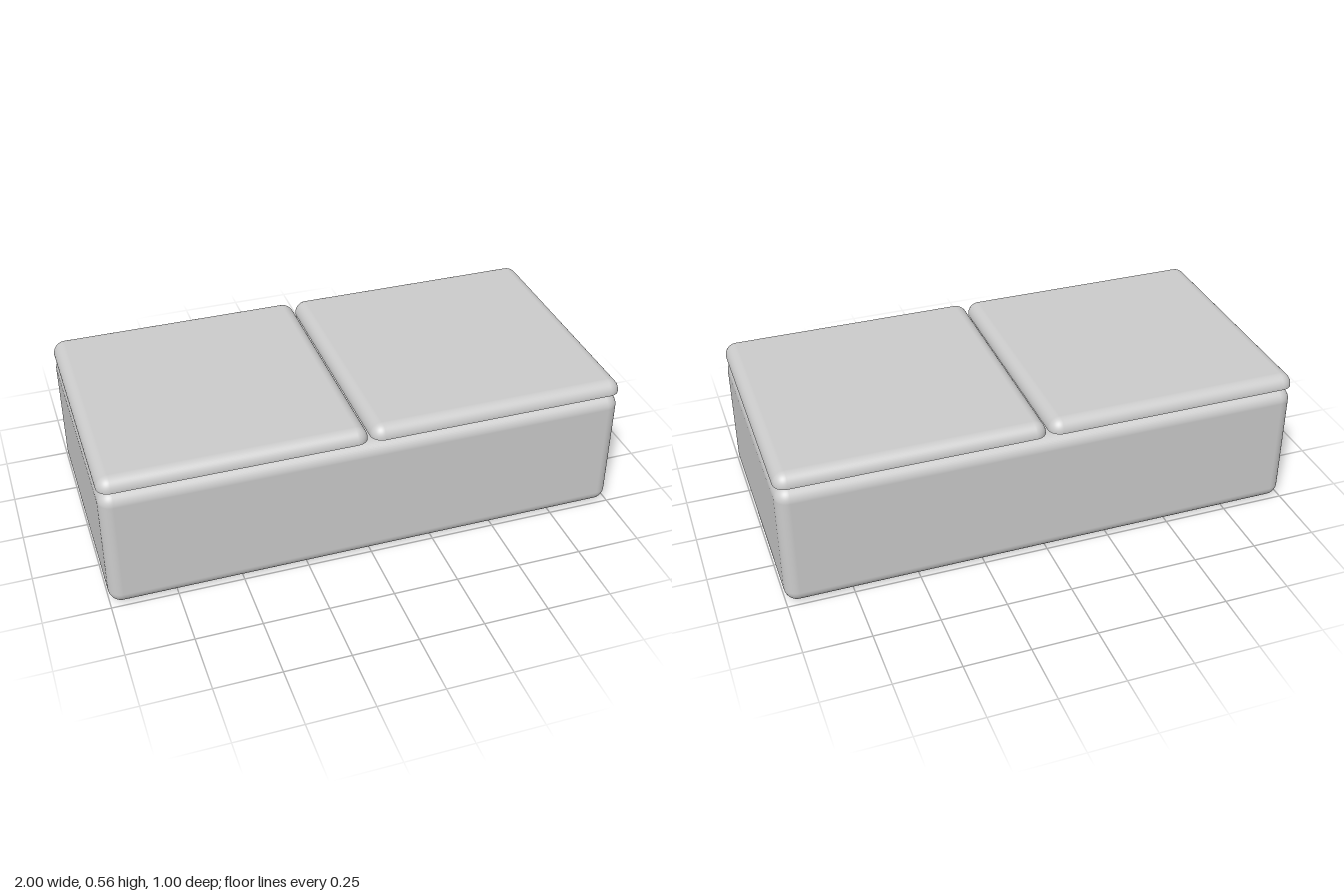
import * as THREE from 'three';
import { RoundedBoxGeometry } from 'three/addons/geometries/RoundedBoxGeometry.js';

const material = new THREE.MeshStandardMaterial({ color: 0xcccccc });

// Cushion-edged slab: upper half of a rounded box, closed with a flat underside at y = 0
function slabGeometry(width, height, depth, radius) {
  const geometry = new RoundedBoxGeometry(width, height * 2, depth, 6, radius);
  const pos = geometry.attributes.position;
  const normal = geometry.attributes.normal;
  for (let i = 0; i < pos.count; i++) {
    if (pos.getY(i) < 1e-6) pos.setY(i, 0);
  }
  for (let i = 0; i < pos.count; i += 3) {
    const flat = [0, 1, 2].every((k) => pos.getY(i + k) === 0);
    for (let k = 0; k < 3; k++) {
      const n = i + k;
      if (flat) normal.setXYZ(n, 0, -1, 0);
      else if (pos.getY(n) === 0) {
        // rim of the wall faces straight outwards
        const v = new THREE.Vector3(normal.getX(n), 0, normal.getZ(n)).normalize();
        normal.setXYZ(n, v.x, 0, v.z);
      }
    }
  }
  return geometry;
}

export function createModel() {
  const model = new THREE.Group();
  model.name = 'chestWithTwoLids';

  // Main body
  const body = new THREE.Mesh(new RoundedBoxGeometry(2, 0.498, 1, 6, 0.05), material);
  body.name = 'body';
  body.position.y = 0.249;
  model.add(body);

  // Two lids floating just above the body
  const lids = [
    ['rightLid', -1, -0.01],
    ['leftLid', 0, 1],
  ];
  for (const [name, x0, x1] of lids) {
    const lid = new THREE.Mesh(slabGeometry(x1 - x0, 0.05, 1, 0.047), material);
    lid.name = name;
    lid.position.set((x0 + x1) / 2, 0.512, 0);
    model.add(lid);
  }
  return model;
}
